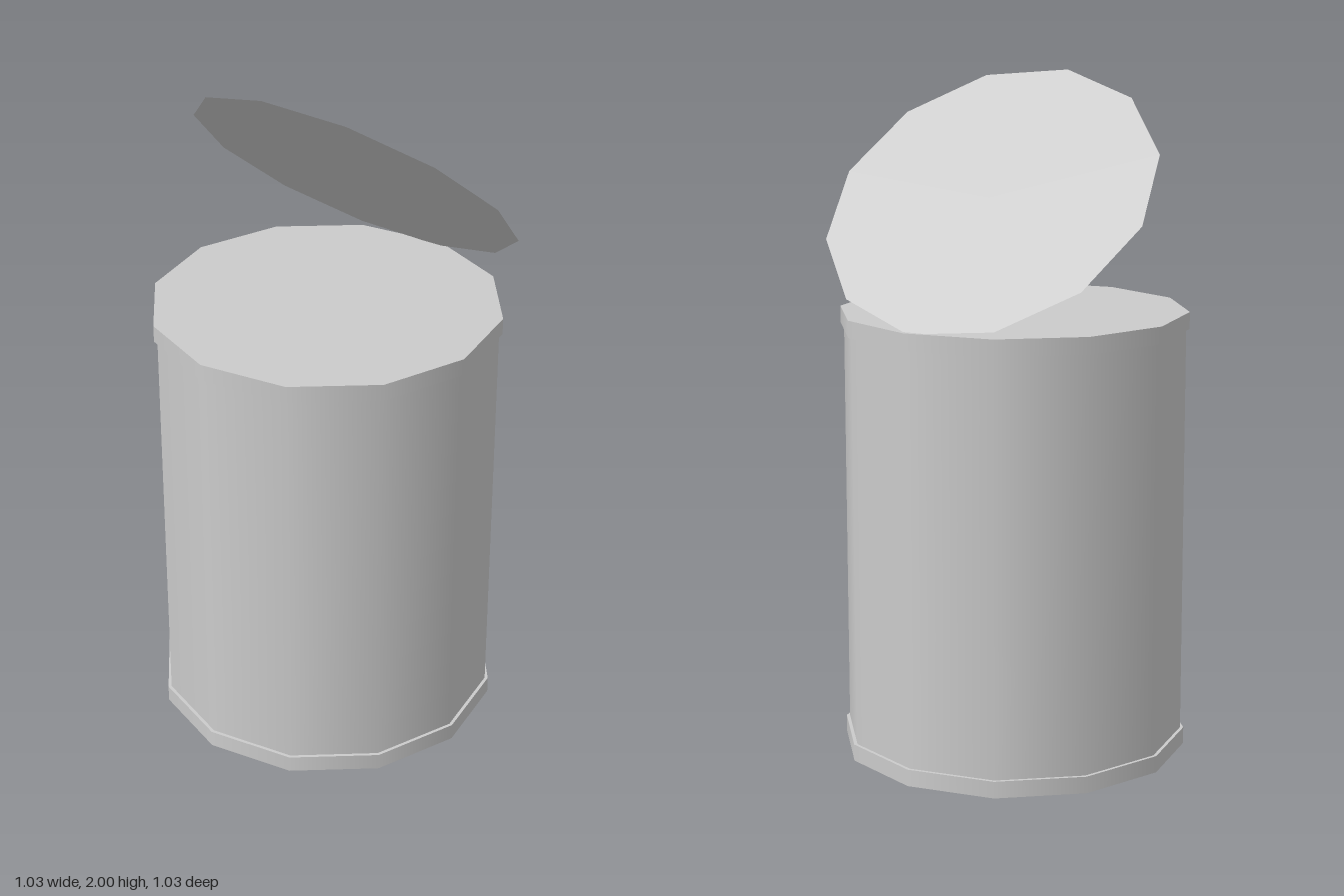
import * as THREE from 'three';

const SIDES = 12;
const BODY_RADIUS = 0.505, RIM_RADIUS = 0.515, LID_RADIUS = 0.503;
const HEIGHT = 1.32, RIM_HEIGHT = 0.05;

export function createModel() {
  const group = new THREE.Group();
  const metal = new THREE.MeshStandardMaterial({ color: 0xcccccc });
  const thinMetal = new THREE.MeshStandardMaterial({ color: 0xcccccc, side: THREE.DoubleSide });

  const add = (name, geometry, material, y = 0) => {
    const mesh = new THREE.Mesh(geometry, material);
    mesh.name = name;
    mesh.position.y = y;
    group.add(mesh);
    return mesh;
  };

  // Smooth-shaded can wall, running between the two rims
  const wallHeight = HEIGHT - 2 * RIM_HEIGHT;
  add('body', new THREE.CylinderGeometry(BODY_RADIUS, BODY_RADIUS, wallHeight, SIDES, 1, true), metal, HEIGHT / 2);

  // Slightly wider closed rims at both ends
  for (const [name, y] of [['bottomRim', RIM_HEIGHT / 2], ['topRim', HEIGHT - RIM_HEIGHT / 2]]) {
    add(name, new THREE.CylinderGeometry(RIM_RADIUS, RIM_RADIUS, RIM_HEIGHT, SIDES), metal, y);
  }

  // Thin lid, bent open at the back and a little askew
  const lid = add('openLid', new THREE.CircleGeometry(LID_RADIUS, SIDES), thinMetal);
  const across = new THREE.Vector3(1, 0.095, -0.055).normalize();
  const normal = across.clone().cross(new THREE.Vector3(-0.07, 0.68, 0.73)).normalize();
  const up = normal.clone().cross(across);
  lid.quaternion.setFromRotationMatrix(new THREE.Matrix4().makeBasis(across, up, normal));
  lid.position.set(-0.015, 1.66, -0.135);

  return group;
}
